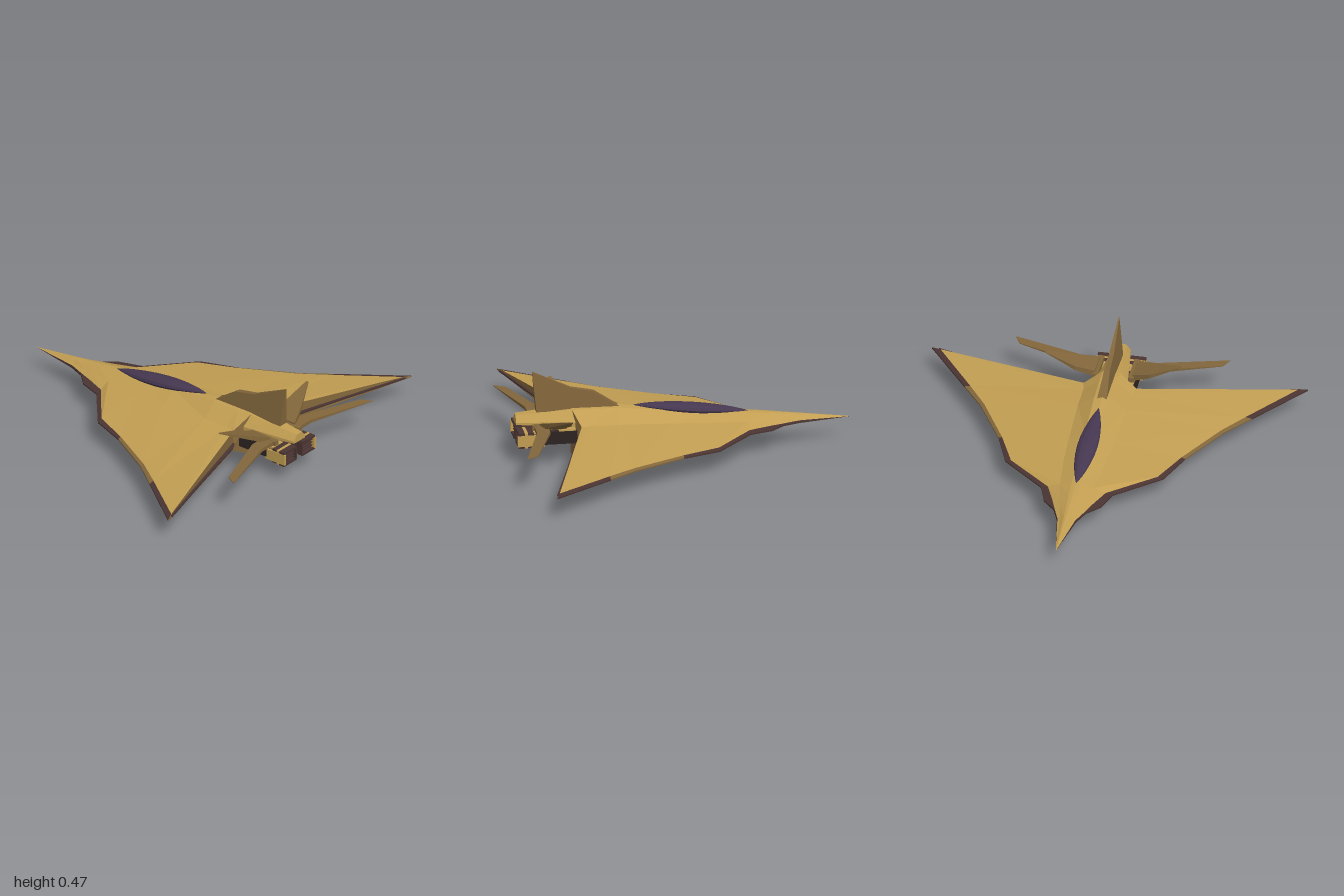
import * as THREE from 'three';

const mat = (name, color, extra = {}) =>
  Object.assign(new THREE.MeshStandardMaterial({ color, flatShading: true, ...extra }), { name });

export function createModel() {
  const gold = mat('hull gold', 0xc29e52);
  const brown = mat('fin brown', 0x82663b);
  const edgeDark = mat('edge dark brown', 0x4a3432);
  const glass = mat('canopy violet', 0x453750);
  const black = mat('engine dark', 0x2c2422);
  const model = new THREE.Group();
  model.name = 'deltaJet';

  const add = (name, geo, material, parent = model) => {
    const m = new THREE.Mesh(geo, material);
    m.name = name;
    parent.add(m);
  };
  // flat faces from point triples, mirrored to -x when side is -1
  const faces = (tris, side) => {
    const pos = [];
    for (const t of tris) for (const p of side > 0 ? t : [t[0], t[2], t[1]]) pos.push(p[0] * side, p[1], p[2]);
    const g = new THREE.BufferGeometry();
    g.setAttribute('position', new THREE.Float32BufferAttribute(pos, 3));
    g.computeVertexNormals();
    return g;
  };
  const fan = (pts) => pts.slice(2).map((p, i) => [pts[0], pts[i + 1], p]);

  // Half sections of the hull: z, half width, edge band, spine y, crown x, crown y, shoulder x, shoulder y
  const rows = [
    [-0.62, 0.05, 0.003, 0.160, 0.012, 0.157, 0.035, 0.140],
    [-0.53, 0.085, 0.004, 0.170, 0.016, 0.167, 0.055, 0.146],
    [-0.46, 0.15, 0.045, 0.178, 0.02, 0.175, 0.07, 0.151],
    [-0.34, 0.19, 0.037, 0.190, 0.024, 0.187, 0.09, 0.159],
    [-0.14, 0.42, 0.03, 0.209, 0.03, 0.206, 0.11, 0.170],
    [0.06, 0.495, 0.018, 0.229, 0.035, 0.226, 0.12, 0.182],
    [0.34, 0.65, 0.022, 0.264, 0.042, 0.258, 0.13, 0.194],
    [0.49, 0.762, 0.03, 0.265, 0.045, 0.259, 0.13, 0.196],
  ];
  const section = ([z, w, band, ys, cx, cy, sx, sy]) => {
    const t = (z + 0.9) / 1.48;
    return [[0, 0.125 - 0.125 * t, z], [0.16 * t, 0.12 - 0.03 * t, z], [w, 0.12, z], [w, 0.127, z],
      [w - band, 0.134, z], [sx, sy, z], [cx, cy, z], [0, ys, z]];
  };
  const stations = [Array(8).fill([0, 0.125, -0.9]), ...rows.map(section),
    // swept trailing edge
    [[0, 0, 0.58], [0.16, 0.09, 0.555], [1, 0.12, 0.81], [1, 0.127, 0.81],
      [0.95, 0.134, 0.79], [0.14, 0.196, 0.545], [0.045, 0.26, 0.58], [0, 0.265, 0.58]]];
  // skin between two lengthwise lines, from one station to another
  const skin = (from, to, first = 0, last = stations.length - 1) => {
    const tris = [];
    for (let i = first; i < last; i++) for (let j = from; j < to; j++) {
      const a = stations[i][j], b = stations[i][j + 1], c = stations[i + 1][j + 1], d = stations[i + 1][j];
      if (i > 0) tris.push([a, b, d]);
      tris.push([b, c, d]);
    }
    return tris;
  };
  const tail = stations.at(-1);

  // Flat plate from [x, z] corners
  const plate = (pts, y, thick) => new THREE.ExtrudeGeometry(
    new THREE.Shape(pts.map((p) => new THREE.Vector2(...p))), { depth: thick, bevelEnabled: false })
    .rotateX(Math.PI / 2).translate(0, y + thick / 2, 0);
  // Fin plate thinning from its root to its tip and rising outward
  const taperedFin = (pts, y, thick, tipX, rise) => {
    const g = plate(pts, 0, thick);
    const p = g.attributes.position;
    for (let i = 0; i < p.count; i++) {
      const out = Math.abs(p.getX(i)) - 0.1;
      p.setY(i, y + out * rise + p.getY(i) * (1 - 0.9 * out / (tipX - 0.1)));
    }
    g.computeVertexNormals();
    return g;
  };
  const mirrorX = (pts, side) => pts.map(([x, z]) => [x * side, z]);
  const box = (x0, x1, y0, y1, z0, z1, side) => new THREE.BoxGeometry(x1 - x0, y1 - y0, z1 - z0)
    .translate(side * (x0 + x1) / 2, (y0 + y1) / 2, (z0 + z1) / 2);

  for (const side of [1, -1]) {
    const half = new THREE.Group();
    half.name = side > 0 ? 'leftSide' : 'rightSide';
    model.add(half);
    // Hull and wing skins
    add('keel', faces(skin(0, 1), side), gold, half);
    add('wingUnderside', faces(skin(1, 2), side), brown, half);
    add('frontLeadingEdge', faces(skin(2, 4, 0, 6), side), edgeDark, half);
    add('middleLeadingEdge', faces(skin(2, 4, 6, 8), side), brown, half);
    add('tipLeadingEdge', faces(skin(2, 4, 8), side), edgeDark, half);
    add('upperHull', faces(skin(4, 7), side), gold, half);
    add('rearBulkhead', faces(fan([tail[1], tail[5], tail[6], tail[7], tail[0]]), side), brown, half);
    add('trailingEdge', faces(fan([tail[1], tail[2], tail[3], tail[4], tail[5]]), side), brown, half);
    add('flapEdge', plate(mirrorX([[0.15, 0.535], [0.15, 0.56], [0.2, 0.588], [0.56, 0.688], [0.96, 0.805], [0.95, 0.785]], side),
      0.127, 0.008), edgeDark, half);

    // Tailplane and canted fin
    add('tailplane', taperedFin(mirrorX([[0.1, 0.72], [0.2, 0.72], [0.54, 0.84], [0.57, 0.9], [0.2, 0.79], [0.1, 0.79]], side),
      0.193, 0.022, 0.57, 0), brown, half);
    add('cantedFin', taperedFin(mirrorX([[0.1, 0.64], [0.2, 0.61], [0.36, 0.625], [0.36, 0.64], [0.2, 0.72], [0.1, 0.76]], side),
      0.195, 0.036, 0.36, 0.42), brown, half);
    add('finMount', box(0.08, 0.11, 0.18, 0.205, 0.62, 0.8, side), brown, half);

    // Engine core and flat nozzle
    add('engineCore', box(0.03, 0.115, 0.1, 0.168, 0.54, 0.84, side), black, half);
    add('engineCowl', box(0.025, 0.11, 0.105, 0.176, 0.57, 0.66, side), gold, half);
    add('engineBand', box(0.025, 0.105, 0.102, 0.174, 0.68, 0.73, side), edgeDark, half);
    for (const [y0, y1] of [[0.09, 0.102], [0.16, 0.172]]) {
      add('nozzleFlap', box(0.035, 0.115, y0, y1, 0.735, 0.795, side), gold, half);
      add('nozzleHinge', box(0.03, 0.125, y0, y1, 0.795, 0.825, side), edgeDark, half);
      add('nozzleStrip', box(0.025, 0.128, y0, y1, 0.825, 0.842, side), gold, half);
      add('nozzleLip', box(0.025, 0.128, y0, y1, 0.842, 0.875, side), edgeDark, half);
    }
    add('nozzleCheek', box(0.118, 0.13, 0.1, 0.16, 0.76, 0.88, side), gold, half);
    add('nozzleInnerWall', box(0.02, 0.03, 0.095, 0.167, 0.76, 0.875, side), edgeDark, half);
    for (const y of [0.112, 0.128, 0.144]) add('nozzleVane', box(0.03, 0.118, y, y + 0.005, 0.82, 0.865, side), edgeDark, half);
  }

  // Tail boom, tapering behind the fins
  const boomShape = new THREE.Shape([[-0.09, 0.178], [0.09, 0.178], [0.09, 0.205], [0.042, 0.262], [-0.042, 0.262], [-0.09, 0.205]]
    .map((p) => new THREE.Vector2(...p)));
  const boom = new THREE.ExtrudeGeometry(boomShape, { depth: 0.32, steps: 2, bevelEnabled: false }).translate(0, 0, 0.555);
  const bp = boom.attributes.position;
  for (let i = 0; i < bp.count; i++) {
    const t = (bp.getZ(i) - 0.555) / 0.32, y = bp.getY(i);
    bp.setX(i, bp.getX(i) * (1 - 0.5 * t));
    bp.setY(i, y > 0.25 ? y - 0.024 * t : y < 0.19 ? y + 0.015 * t : y);
  }
  boom.computeVertexNormals();
  add('tailBoom', boom, gold);

  // Upright fin, thinning toward its top
  const finShape = new THREE.Shape([[0.31, 0.25], [0.35, 0.27], [0.46, 0.345], [0.58, 0.37], [0.785, 0.468], [0.765, 0.25]]
    .map(([z, y]) => new THREE.Vector2(-z, y)));
  const fin = new THREE.ExtrudeGeometry(finShape, { depth: 2, bevelEnabled: false }).translate(0, 0, -1).rotateY(Math.PI / 2);
  const fp = fin.attributes.position;
  for (let i = 0; i < fp.count; i++) fp.setX(i, fp.getX(i) * (0.002 + 0.024 * (0.468 - fp.getY(i)) / 0.218));
  fin.computeVertexNormals();
  add('uprightFin', fin, brown);

  // Slender pointed canopy following the rising spine
  const canopy = new THREE.SphereGeometry(1, 12, 14).rotateX(Math.PI / 2);
  const cp = canopy.attributes.position;
  for (let i = 0; i < cp.count; i++) {
    const z = cp.getZ(i), pinch = Math.sqrt(Math.max(0, 1 - z * z));
    cp.setXYZ(i, cp.getX(i) * pinch * 0.054, 0.22 + z * 0.034 + cp.getY(i) * pinch ** 0.5 * 0.028, -0.055 + z * 0.305);
  }
  canopy.computeVertexNormals();
  add('canopy', canopy, glass);

  return model;
}
